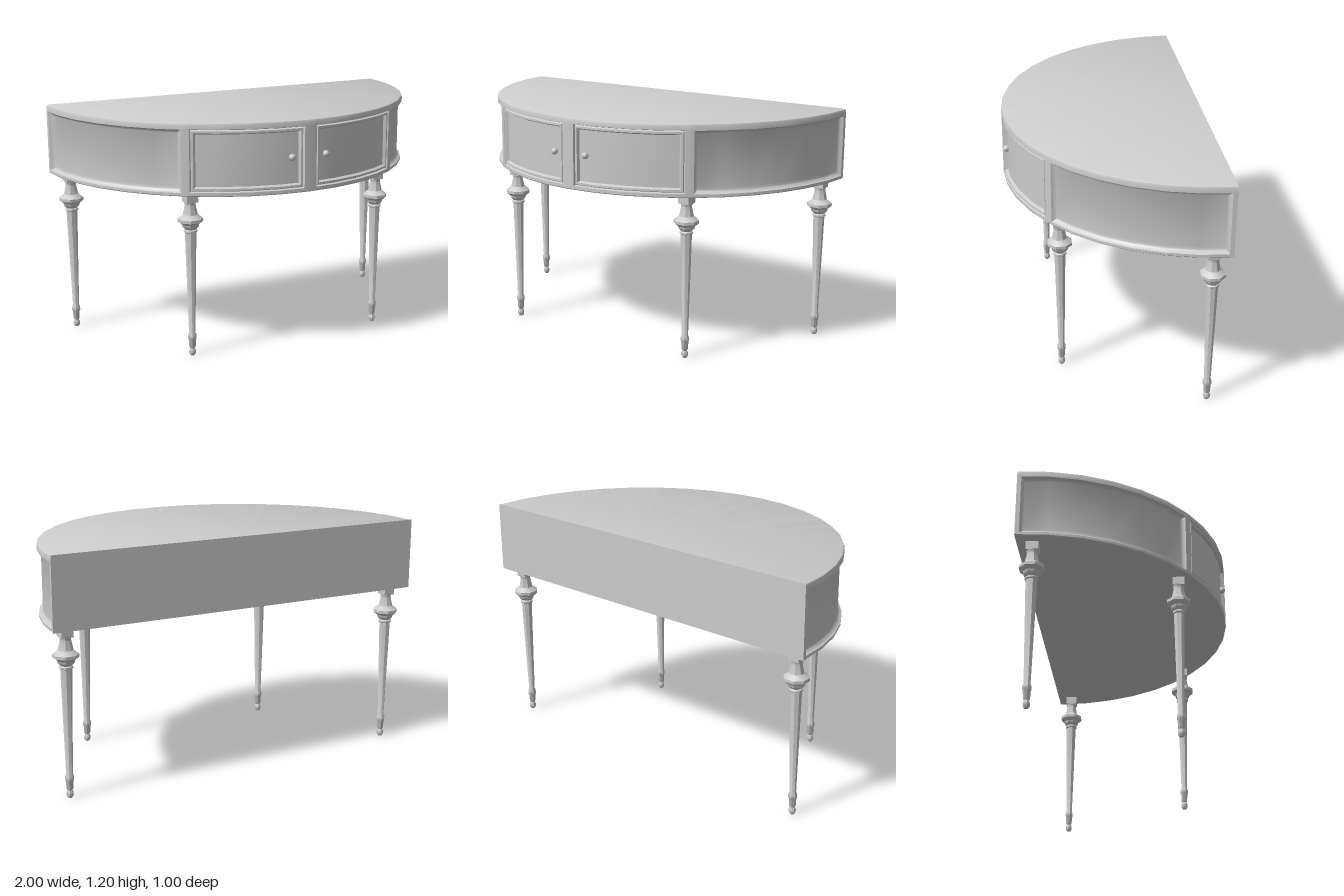
import * as THREE from 'three';
import { toCreasedNormals } from 'three/addons/utils/BufferGeometryUtils.js';

const material = new THREE.MeshStandardMaterial({ color: 0xcccccc });
const BOTTOM = 0.84, TOP = 1.2, BACK = -0.5;
const STEP = Math.PI / 20; // one facet of the half-round front

// Sunken panels: angle range, height range, and [inset, depth] steps from the edge inwards
const doorSteps = [[0, 0], [0.004, 0.014], [0.009, 0.003], [0.019, 0.003], [0.026, 0.018]];
const sideSteps = [[0, 0], [0.007, 0.013], [0.018, 0.02]];
const panels = [];
for (const s of [-1, 1]) {
  const add = (a, b, y0, y1, steps) =>
    panels.push({ a0: Math.min(s * a, s * b), a1: Math.max(s * a, s * b), y0, y1, steps });
  add(0.033, 0.605, 0.86, 1.168, doorSteps);
  add(0.648, 1.55, 0.857, 1.166, sideSteps);
}

function depthAt(a, y) {
  for (const p of panels) {
    const d = Math.min(a - p.a0, p.a1 - a, y - p.y0, p.y1 - y);
    if (d <= 0) continue;
    for (let k = 1; k < p.steps.length; k++) {
      const [d0, h0] = p.steps[k - 1], [d1, h1] = p.steps[k];
      if (d < d1) return h0 + (h1 - h0) * (d - d0) / (d1 - d0);
    }
    return p.steps[p.steps.length - 1][1];
  }
  return 0;
}

// Radius of the faceted half circle at an angle
function facetRadius(a) {
  const t = a - Math.floor(a / STEP + 1e-6) * STEP - STEP / 2;
  return Math.cos(STEP / 2) / Math.cos(t);
}

const sortedUnique = (list) =>
  list.sort((p, q) => p - q).filter((v, i, all) => i === 0 || v - all[i - 1] > 1e-5);

// Curved cabinet skin, closed by its flat top and bottom
function cabinetGeometry() {
  const angles = [], heights = [BOTTOM + 0.004, TOP - 0.012];
  for (let i = -10; i <= 10; i++) angles.push(i * STEP);
  for (const p of panels) {
    for (const [d] of p.steps) {
      angles.push(p.a0 + d, p.a1 - d);
      heights.push(p.y0 + d, p.y1 - d);
    }
  }
  const columns = sortedUnique(angles);
  const rows = [
    [BOTTOM, 0], [BOTTOM, 0.996],
    ...sortedUnique(heights).map((y) => [y, 1]),
    [TOP - 0.004, 0.997], [TOP, 0.989], [TOP, 0],
  ];
  const radius = (a, [y, r]) => facetRadius(a) * r - depthAt(a, y) * (r > 0 ? 1 : 0);
  const positions = [], index = [];
  for (const row of rows) {
    for (const a of columns) {
      const r = radius(a, row);
      positions.push(r * Math.sin(a), row[0], BACK + r * Math.cos(a));
    }
  }
  const n = columns.length;
  for (let j = 0; j < rows.length - 1; j++) {
    for (let i = 0; i < n - 1; i++) {
      const a = j * n + i, b = a + 1, c = b + n, d = a + n;
      if (j === 0) { index.push(a, c, d); continue; }
      if (j === rows.length - 2) { index.push(a, b, d); continue; }
      const r = (ii, jj) => radius(columns[ii], rows[jj]);
      // Split each cell so that the panel corners are mitred
      const rising = Math.abs(r(i, j) - r(i + 1, j + 1)) >= Math.abs(r(i + 1, j) - r(i, j + 1));
      if (rising) index.push(a, b, c, a, c, d);
      else index.push(a, b, d, b, c, d);
    }
  }
  const g = new THREE.BufferGeometry();
  g.setAttribute('position', new THREE.Float32BufferAttribute(positions, 3));
  g.setIndex(index);
  return toCreasedNormals(g, 0.6);
}

// Eight-sided turned leg, profile as [half width, height]
function legGeometry() {
  const profile = [
    [0, 0], [0.01, 0], [0.016, 0.012], [0.016, 0.026], [0.011, 0.038], [0.015, 0.045],
    [0.017, 0.085], [0.02, 0.09], [0.02, 0.108], [0.015, 0.12],
    [0.026, 0.635], [0.026, 0.643], [0.031, 0.647], [0.031, 0.655], [0.026, 0.66],
    [0.037, 0.672], [0.04, 0.685], [0.058, 0.7], [0.058, 0.715], [0.04, 0.73],
    [0.034, 0.735], [0.025, 0.78], [0.025, 0.79], [0.03, 0.8], [0.03, 0.805],
  ].map(([r, y]) => new THREE.Vector2(r / Math.cos(Math.PI / 8), y));
  const g = new THREE.LatheGeometry(profile, 8, Math.PI / 8);
  return toCreasedNormals(g, 0.6);
}

export function createModel() {
  const model = new THREE.Group();
  const add = (name, geometry, parent = model) => {
    const mesh = new THREE.Mesh(geometry, material);
    mesh.name = name;
    parent.add(mesh);
    return mesh;
  };

  add('cabinet', cabinetGeometry());

  // Flat back board
  const back = add('backBoard', new THREE.PlaneGeometry(2, TOP - BOTTOM));
  back.rotation.y = Math.PI;
  back.position.set(0, (TOP + BOTTOM) / 2, BACK);

  const turned = legGeometry();
  const block = new THREE.BoxGeometry(0.06, 0.045, 0.06);
  const knob = new THREE.SphereGeometry(0.017, 16, 12);
  for (const s of [-1, 1]) {
    const side = s > 0 ? 'left' : 'right';

    // Front and back legs with a square block at the top
    for (const [place, x, z] of [['Front', 0.537, 0.255], ['Back', 0.912, -0.424]]) {
      const leg = new THREE.Group();
      leg.name = side + place + 'Leg';
      leg.position.set(s * x, 0, z);
      add('turnedLeg', turned, leg);
      add('legBlock', block, leg).position.y = 0.82;
      model.add(leg);
    }

    // Door knob
    add(side + 'Knob', knob).position.set(s * 0.095, 1.017, 0.483);
  }
  return model;
}
